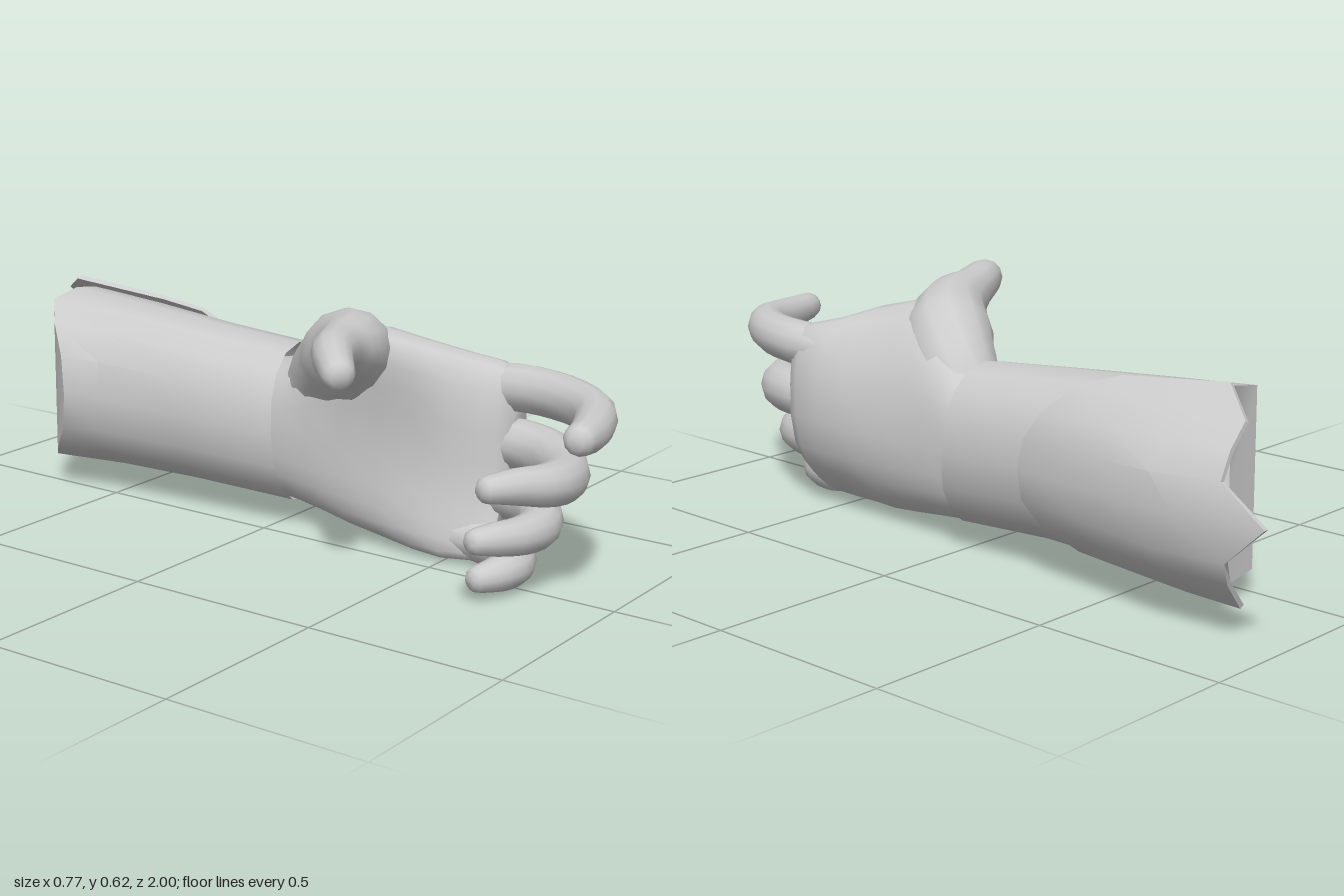
import * as THREE from 'three';
import { toCreasedNormals } from 'three/addons/utils/BufferGeometryUtils.js';

const V = (x, y, z) => new THREE.Vector3(x, y, z);
const { lerp } = THREE.MathUtils;

// Skin a list of rings (counter-clockwise about the direction of travel).
function loft(rings, crease, closed = true) {
  const n = rings[0].length, pos = [], idx = [];
  rings.forEach(r => r.forEach(p => pos.push(p.x, p.y, p.z)));
  for (let i = 0; i < rings.length - 1; i++) {
    for (let j = 0; j < n; j++) {
      const a = i * n + j, b = i * n + (j + 1) % n, c = b + n, d = a + n;
      idx.push(a, b, c, a, c, d);
    }
  }
  const cap = (i, flip) => {
    const m = rings[i].reduce((s, p) => s.add(p), V(0, 0, 0)).divideScalar(n);
    const center = pos.length / 3;
    pos.push(m.x, m.y, m.z);
    for (let j = 0; j < n; j++) {
      const a = i * n + j, b = i * n + (j + 1) % n;
      idx.push(center, flip ? b : a, flip ? a : b);
    }
  };
  if (closed) {
    cap(0, true);
    cap(rings.length - 1, false);
  }
  const g = new THREE.BufferGeometry();
  g.setAttribute('position', new THREE.Float32BufferAttribute(pos, 3));
  g.setIndex(idx);
  return toCreasedNormals(g, crease);
}

// Rounded-off tapering limb; each station is [x, y, z, radius].
function limb(stations, sides = 12) {
  const curve = new THREE.CatmullRomCurve3(stations.map(s => V(s[0], s[1], s[2])));
  const last = stations.length - 1, steps = last * 3, rings = [];
  const ring = (p, t, r) => {
    const n1 = V(0, 1, 0).addScaledVector(t, -t.y).normalize();
    const n2 = t.clone().cross(n1);
    return Array.from({ length: sides }, (_, j) => {
      const a = j / sides * Math.PI * 2;
      return p.clone().addScaledVector(n1, r * Math.cos(a)).addScaledVector(n2, r * Math.sin(a));
    });
  };
  for (let i = 0; i <= steps; i++) {
    const f = i / 3, k = Math.min(Math.floor(f), last - 1);
    const r = lerp(stations[k][3], stations[k + 1][3], f - k);
    rings.push(ring(curve.getPoint(i / steps), curve.getTangent(i / steps), r));
  }
  // fingertip
  const tip = curve.getPoint(1), dir = curve.getTangent(1), r = stations[last][3];
  for (const [d, s] of [[0.45, 0.85], [0.75, 0.5]]) {
    rings.push(ring(tip.clone().addScaledVector(dir, d * r), dir, r * s));
  }
  return loft(rings, 1.2);
}

// Superellipse point
const sup = (a, e) => [Math.cos(a), Math.sin(a)].map(c => Math.sign(c) * Math.abs(c) ** e);

export function createModel() {
  const group = new THREE.Group();
  const material = new THREE.MeshStandardMaterial({ color: 0xcccccc, side: THREE.DoubleSide });
  const add = (name, geometry) => {
    const mesh = new THREE.Mesh(geometry, material);
    mesh.name = name;
    group.add(mesh);
  };

  // Palm: [z, centre x, half width, bottom y, top y, lower arch, upper arch, inner swell]
  const palm = [
    [-0.06, 0.14, 0.118, 0.065, 0.415, 0, 0, 1],
    [0.04, 0.14, 0.12, 0.055, 0.435, 0, 0, 1],
    [0.12, 0.142, 0.118, 0.045, 0.495, 0.01, 0.02, 1.05],
    [0.22, 0.15, 0.112, 0.03, 0.555, 0.03, 0.08, 1.15],
    [0.32, 0.162, 0.104, 0.018, 0.565, 0.05, 0.11, 1.25],
    [0.42, 0.177, 0.092, 0.01, 0.54, 0.085, 0.09, 1.35],
    [0.5, 0.185, 0.085, 0.006, 0.508, 0.1, 0.03, 1.35],
    [0.57, 0.193, 0.076, 0.01, 0.49, 0.1, 0, 1.25],
    [0.605, 0.192, 0.064, 0.022, 0.478, 0.1, 0, 1.1],
    [0.625, 0.188, 0.045, 0.045, 0.455, 0.1, 0, 1],
  ].map(([z, xc, rx, y0, y1, low, high, swell]) => Array.from({ length: 24 }, (_, j) => {
    const [c, s] = sup(j / 24 * Math.PI * 2, 0.78);
    const y = s < 0 ? lerp(0.25, y0, -s) : lerp(0.25, y1, s);
    const w = c < 0 ? rx * swell : rx;
    return V(xc + w * c - (s < 0 ? low : high) * s * s, y, z);
  }));
  add('palm', loft(palm, 1.2));

  // Fingers and thumb
  const digits = {
    indexFinger: [[0.18, 0.415, 0.46, 0.045], [0.2, 0.428, 0.61, 0.06], [0.175, 0.43, 0.75, 0.057],
      [0.09, 0.43, 0.88, 0.052], [-0.04, 0.427, 0.94, 0.046], [-0.13, 0.432, 0.962, 0.038]],
    middleFinger: [[0.18, 0.29, 0.46, 0.045], [0.195, 0.29, 0.61, 0.064], [0.16, 0.285, 0.735, 0.063],
      [0.065, 0.28, 0.825, 0.059], [-0.07, 0.295, 0.86, 0.052], [-0.17, 0.31, 0.83, 0.043], [-0.24, 0.315, 0.8, 0.033]],
    ringFinger: [[0.15, 0.17, 0.46, 0.045], [0.163, 0.17, 0.61, 0.062], [0.13, 0.165, 0.71, 0.058],
      [0.035, 0.155, 0.78, 0.052], [-0.07, 0.16, 0.79, 0.046], [-0.15, 0.167, 0.765, 0.04], [-0.195, 0.17, 0.745, 0.032]],
    littleFinger: [[0.09, 0.07, 0.46, 0.045], [0.1, 0.058, 0.6, 0.055], [0.075, 0.055, 0.685, 0.054],
      [0, 0.054, 0.732, 0.048], [-0.07, 0.055, 0.732, 0.043], [-0.125, 0.053, 0.712, 0.033]],
    thumb: [[0.14, 0.32, 0.05, 0.085], [0.11, 0.415, 0.13, 0.105], [0.045, 0.485, 0.225, 0.115],
      [-0.05, 0.53, 0.3, 0.088], [-0.155, 0.555, 0.34, 0.06], [-0.265, 0.567, 0.395, 0.05], [-0.348, 0.55, 0.468, 0.04]],
  };
  for (const [name, stations] of Object.entries(digits)) add(name, limb(stations));

  // Forearm sleeve: [z, x min, x max, y min, y max], slanted cuff and chamfered rear
  const sleeve = [
    [-0.73, -0.11, 0.345, 0.05, 0.52],
    [-0.5, -0.075, 0.318, 0.06, 0.505],
    [-0.25, -0.05, 0.295, 0.062, 0.485],
    [0.02, -0.02, 0.3, 0.052, 0.465],
  ].map(([z, x0, x1, y0, y1], i) => Array.from({ length: 16 }, (_, j) => {
    const [c, s] = sup(j / 16 * Math.PI * 2, 0.9);
    const x = (x0 + x1) / 2 + (x1 - x0) / 2 * c;
    const y = (y0 + y1) / 2 + (y1 - y0) / 2 * s;
    let dz = 0;
    if (i === 0) dz = Math.max(0, -x) * 1.36 - Math.max(0, x - 0.17) * 0.4;
    if (i === 3) dz = -0.1 * (x - 0.14) - 0.06 * (y - 0.26);
    return V(x, y, z + dz);
  }));
  // rear end folds along vertical lines, with a hollow on the guard side
  const rearSeam = sleeve[0].map(p => V(p.x, 0.285, p.x > 0.2 && p.x < 0.34 ? -0.62 : p.z));
  add('forearmSleeve', loft([rearSeam, ...sleeve], 0.6, false));

  // Outer guard plate, lower edge to upper edge:
  // [rear x, rear y, rear z, front x, front y, front z]
  const edge = [
    [0.165, 0.03, -0.75, 0.19, 0.06, -0.48],
    [0.255, 0.065, -0.87, 0.24, 0.085, -0.39],
    [0.325, 0.14, -0.885, 0.285, 0.14, -0.31],
    [0.358, 0.2, -0.9, 0.305, 0.2, -0.265],
    [0.355, 0.295, -1.0, 0.312, 0.275, -0.258],
    [0.358, 0.38, -0.885, 0.305, 0.35, -0.27],
    [0.32, 0.44, -0.88, 0.285, 0.42, -0.31],
    [0.255, 0.49, -0.87, 0.24, 0.485, -0.38],
    [0.165, 0.542, -0.76, 0.19, 0.515, -0.47],
  ];
  const plate = [0, 0.3, 0.6, 1].map(t => {
    const outer = edge.map(([x, y, z, X, Y, Z], k) => {
      const ridge = (1 - Math.abs(k - 4) / 4) * 0.28 * t * (1 - t) ** 2;
      return V(lerp(x, X, t) + ridge, lerp(y, Y, t), lerp(z, Z, t));
    });
    const inner = outer.map(p => V(p.x - 0.012, 0.285 + (p.y - 0.285) * 0.97, p.z)).reverse();
    return outer.concat(inner);
  });
  // the end rims join the outer and inner skins
  const rims = [plate[0], plate[3]].map(r => r.map((p, j) => r[j < 9 ? 17 - j : j].clone()));
  add('guardPlate', loft([rims[0], ...plate, rims[1]], 0.6, false));

  return group;
}
